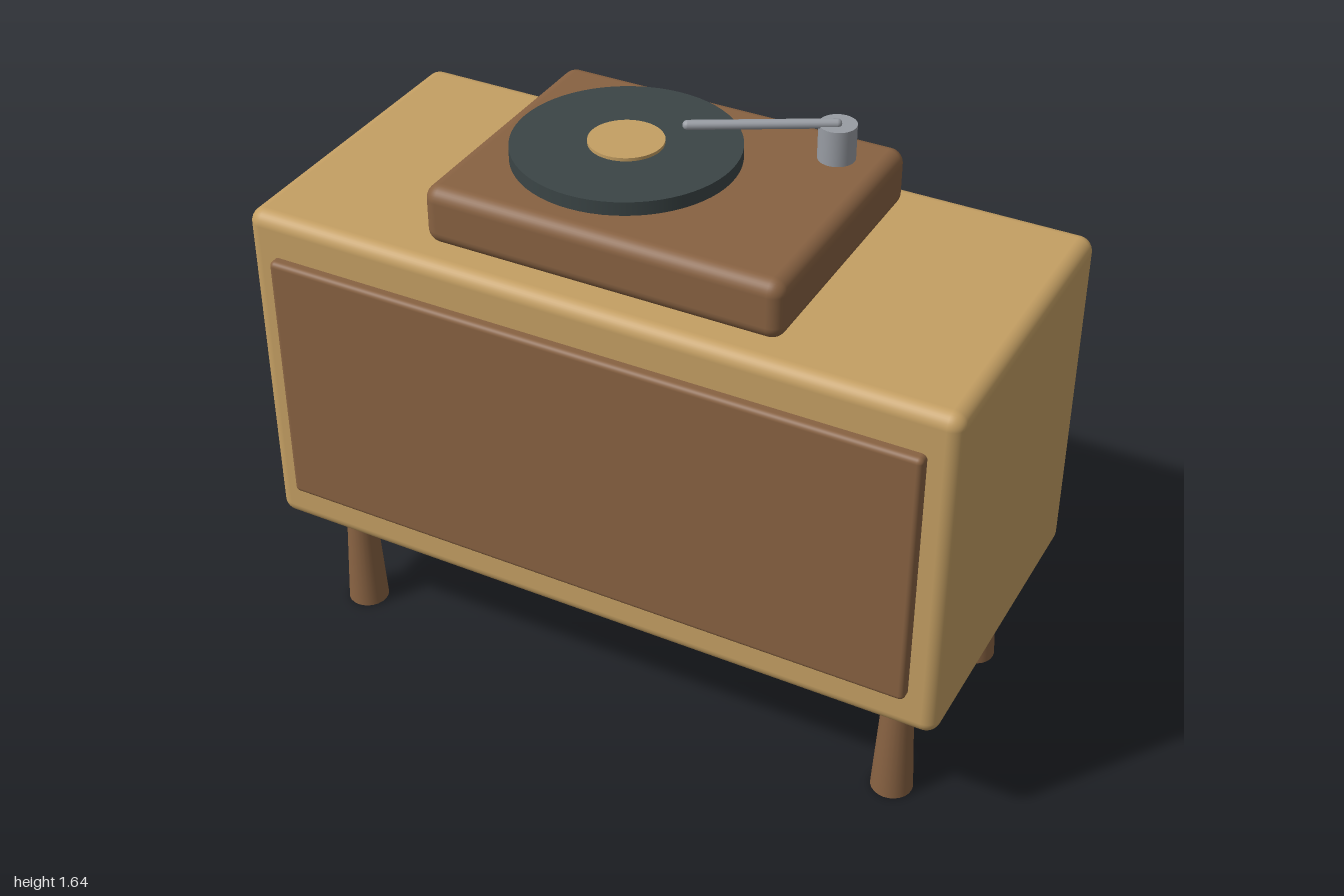
import * as THREE from 'three';
import { RoundedBoxGeometry } from 'three/addons/geometries/RoundedBoxGeometry.js';

const material = (name, color) => {
  const m = new THREE.MeshStandardMaterial({ color });
  m.name = name;
  return m;
};

export function createModel() {
  const group = new THREE.Group();
  group.name = 'recordCabinet';

  const oak = material('light oak', 0xc49f63);
  const walnut = material('walnut', 0x886242);
  const vinyl = material('dark vinyl', 0x3b4546);
  const metal = material('grey metal', 0x989ca3);

  const add = (name, geometry, mat, x, y, z) => {
    const mesh = new THREE.Mesh(geometry, mat);
    mesh.name = name;
    mesh.position.set(x, y, z);
    group.add(mesh);
    return mesh;
  };
  const roundedBox = (name, mat, [w, h, d], r, x, y, z) =>
    add(name, new RoundedBoxGeometry(w, h, d, 4, r), mat, x, y, z);
  // Upright cylinder placed by its base height
  const cylinder = (name, mat, rTop, rBottom, h, x, base, z, sides = 32) =>
    add(name, new THREE.CylinderGeometry(rTop, rBottom, h, sides), mat, x, base + h / 2, z);

  // Cabinet body and front door
  roundedBox('cabinet', oak, [2, 0.995, 0.92], 0.04, 0, 0.8625, -0.015);
  roundedBox('frontDoor', walnut, [1.84, 0.756, 0.06], 0.015, 0, 0.863, 0.445);

  // Tapered legs
  for (const x of [-0.84, 0.84]) {
    for (const z of [-0.313, 0.287]) {
      cylinder('leg', walnut, 0.038, 0.058, 0.375, x, 0, z, 24);
    }
  }

  // Turntable base, record and label
  roundedBox('turntableBase', walnut, [1, 0.165, 0.76], 0.04, 0, 1.4425, -0.015);
  cylinder('record', vinyl, 0.3, 0.3, 0.04, -0.12, 1.523, -0.017, 64);
  cylinder('recordLabel', oak, 0.1, 0.1, 0.009, -0.12, 1.563, -0.017, 40);

  // Tone arm pivot and arm
  cylinder('armPivot', metal, 0.05, 0.05, 0.1, 0.36, 1.523, -0.255);
  const from = new THREE.Vector3(0.36, 1.627, -0.248);
  const to = new THREE.Vector3(0.03, 1.627, -0.065);
  const span = to.clone().sub(from);
  const arm = add('toneArm', new THREE.CapsuleGeometry(0.013, span.length(), 6, 16), metal, 0, 0, 0);
  arm.position.copy(from).add(to).multiplyScalar(0.5);
  arm.quaternion.setFromUnitVectors(new THREE.Vector3(0, 1, 0), span.normalize());

  return group;
}
